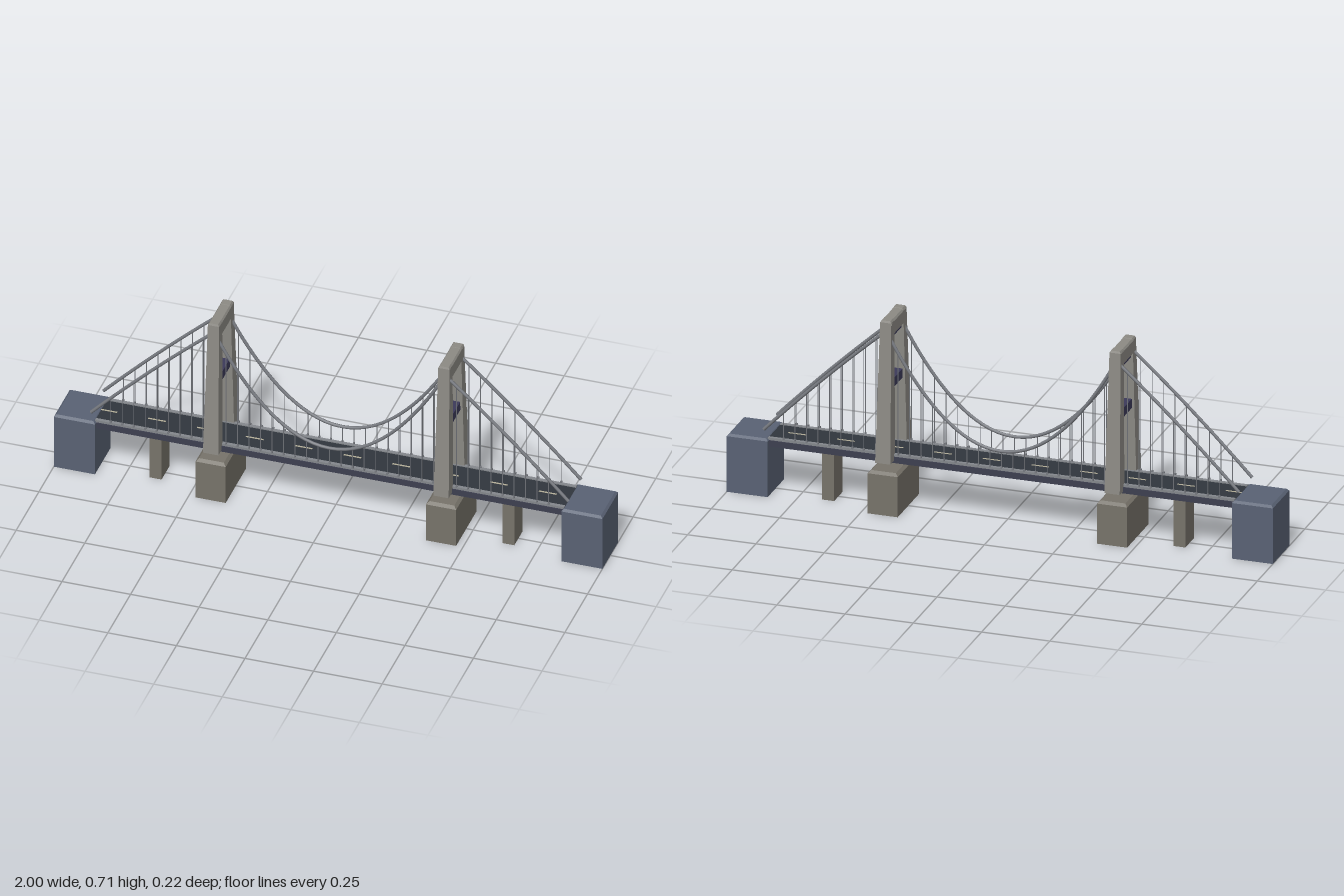
import * as THREE from 'three';

const mat = (color, extra = {}) => new THREE.MeshStandardMaterial({ color, ...extra });
const stone = mat(0x77736a), towerMat = mat(0x8c8a84), concrete = mat(0x596274);
const steel = mat(0x3d3f50), strutMat = mat(0x3c3a5a), asphalt = mat(0x30353d);
const kerbMat = mat(0x84878c), paint = mat(0xb5b09a), cableMat = mat(0x777a80);

// Solid lofted through rectangles [y, halfX, halfZ, centreZ], flat faced and capped
function loft(sections) {
  const pos = [];
  const rings = sections.map(([y, hx, hz, cz = 0]) =>
    [[-hx, y, cz + hz], [hx, y, cz + hz], [hx, y, cz - hz], [-hx, y, cz - hz]]);
  const quad = (a, b, c, d) => pos.push(...a, ...b, ...c, ...a, ...c, ...d);
  for (let i = 0; i < rings.length - 1; i++) {
    for (let k = 0; k < 4; k++) {
      const n = (k + 1) % 4;
      quad(rings[i][k], rings[i][n], rings[i + 1][n], rings[i + 1][k]);
    }
  }
  const [a, b, c, d] = rings[0];
  quad(d, c, b, a);
  quad(...rings[rings.length - 1]);
  const g = new THREE.BufferGeometry();
  g.setAttribute('position', new THREE.Float32BufferAttribute(pos, 3));
  g.computeVertexNormals();
  return g;
}

// Upright block with a chamfered top
const block = (hx, hz, h, c) => loft([[0, hx, hz], [h - c, hx, hz], [h, hx - c, hz - c]]);

export function createModel() {
  const bridge = new THREE.Group();
  bridge.name = 'suspensionBridge';

  const add = (parent, name, geometry, material, x = 0, y = 0, z = 0) => {
    const m = new THREE.Mesh(geometry, material);
    m.name = name;
    m.position.set(x, y, z);
    parent.add(m);
    return m;
  };
  const box = (parent, name, material, w, h, d, x, y, z) =>
    add(parent, name, new THREE.BoxGeometry(w, h, d), material, x, y, z);

  // Deck, road and kerbs
  box(bridge, 'deck', steel, 1.72, 0.023, 0.15, 0, 0.1965, 0);
  box(bridge, 'road', asphalt, 1.736, 0.006, 0.118, 0, 0.2105, 0);
  for (const s of [-1, 1]) {
    box(bridge, 'kerb', kerbMat, 1.71, 0.012, 0.013, 0, 0.211, s * 0.0655);
  }
  for (let i = 0; i < 10; i++) {
    box(bridge, 'laneDash', paint, 0.064, 0.002, 0.006, -0.83 + i * 0.178, 0.2138, 0);
  }

  // Supports and towers, mirrored end to end
  for (const s of [-1, 1]) {
    add(bridge, 'abutment', block(0.075, 0.087, 0.216, 0.008), concrete, s * 0.925);
    box(bridge, 'sidePier', stone, 0.044, 0.187, 0.09, s * 0.643, 0.0935, 0);
    add(bridge, 'mainPier', block(0.055, 0.112, 0.16, 0.01), stone, s * 0.42);

    const tower = new THREE.Group();
    tower.name = 'tower';
    tower.position.x = s * 0.42;
    bridge.add(tower);
    for (const side of [-1, 1]) {
      add(tower, 'towerLeg', loft([
        [0.193, 0.028, 0.0245, side * 0.0875],
        [0.708, 0.0205, 0.0172, side * 0.0635],
        [0.715, 0.016, 0.0142, side * 0.0635],
      ]), towerMat);
    }
    add(tower, 'capBeam', loft([
      [0.66, 0.021, 0.076], [0.706, 0.021, 0.076], [0.713, 0.016, 0.072],
    ]), towerMat);
    box(tower, 'upperStrut', strutMat, 0.028, 0.03, 0.104, 0, 0.66, 0);
    box(tower, 'middleStrut', strutMat, 0.03, 0.034, 0.116, 0, 0.47, 0);
  }

  // Cable heights across the main span and the two side spans
  const mainY = x => 0.28 + 0.39 * (x / 0.42) ** 2;
  const sideY = x => {
    const t = (Math.abs(x) - 0.42) / 0.45;
    return 0.675 - 0.43 * t + 0.04 * t * (1 - t);
  };
  const cable = (x0, x1, heightAt, z) => {
    const pts = [];
    for (let i = 0; i <= 16; i++) {
      const x = x0 + (x1 - x0) * i / 16;
      pts.push(new THREE.Vector3(x, heightAt(x), z));
    }
    const tube = new THREE.TubeGeometry(new THREE.CatmullRomCurve3(pts), 40, 0.006, 8);
    add(bridge, 'cable', tube, cableMat);
    // End discs close the tube
    for (const [p, q] of [[pts[0], pts[1]], [pts[16], pts[15]]]) {
      const disc = add(bridge, 'cableEnd', new THREE.CircleGeometry(0.006, 8), cableMat, p.x, p.y, p.z);
      disc.lookAt(p.clone().multiplyScalar(2).sub(q));
    }
  };
  const hanger = (x, top, z) => {
    const h = top - 0.213;
    add(bridge, 'hanger', new THREE.CylinderGeometry(0.0016, 0.0016, h, 6), cableMat, x, 0.213 + h / 2, z);
    box(bridge, 'hangerFoot', cableMat, 0.006, 0.008, 0.006, x, 0.219, z);
  };

  for (const z of [-0.07, 0.07]) {
    cable(-0.42, 0.42, mainY, z);
    for (let i = 1; i < 20; i++) {
      const x = -0.42 + i * 0.042;
      hanger(x, mainY(x), z);
    }
    for (const s of [-1, 1]) {
      cable(s * 0.42, s * 0.87, sideY, z);
      for (let i = 1; i < 10; i++) {
        const x = s * (0.42 + i * 0.042);
        hanger(x, sideY(x), z);
      }
    }
  }
  return bridge;
}
